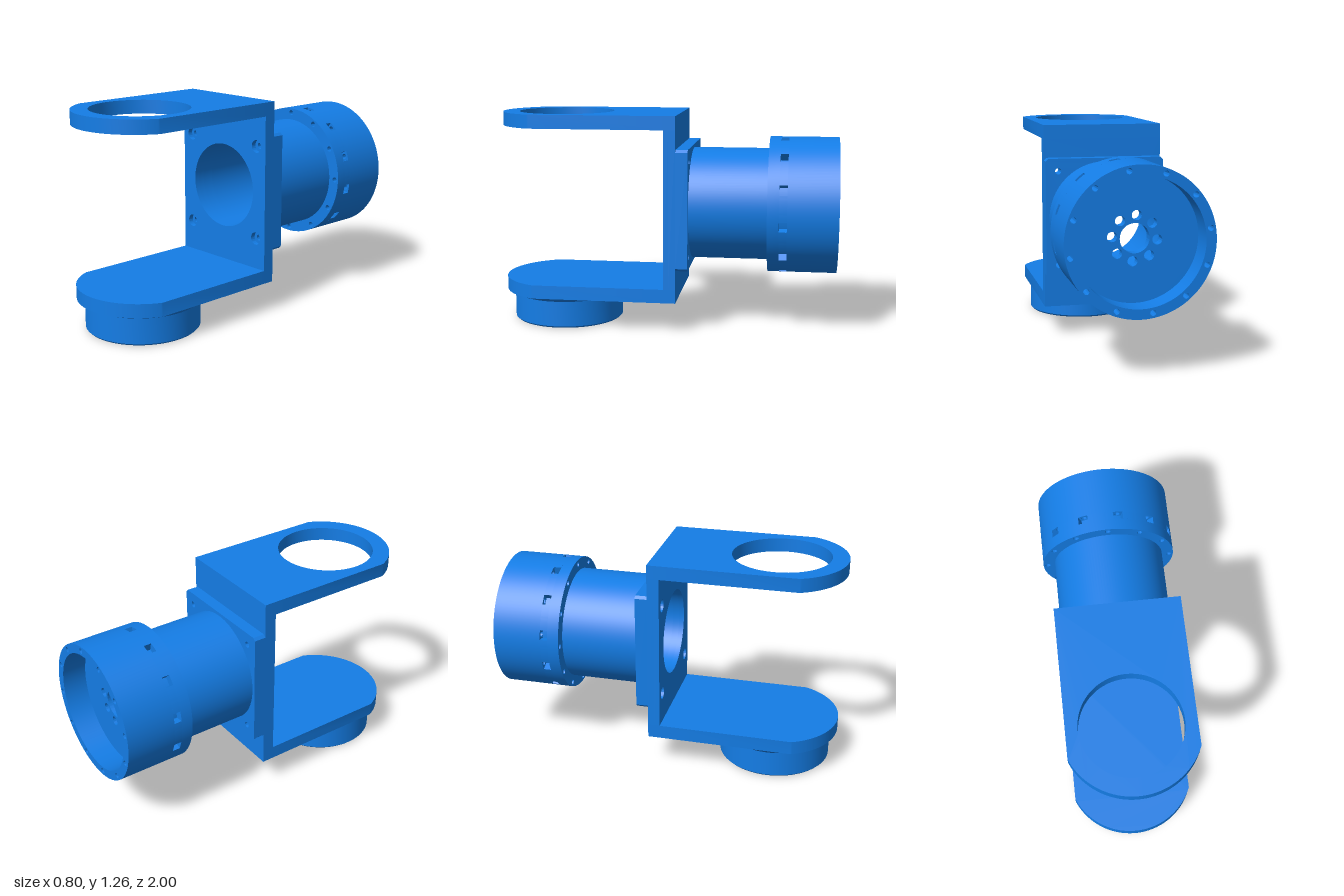
import * as THREE from 'three';
import { toCreasedNormals } from 'three/addons/utils/BufferGeometryUtils.js';

const material = new THREE.MeshStandardMaterial({ color: 0x147de6 });
const AXIS_Y = 0.72; // height of the drum axis
const PIVOT_Z = 0.62; // centre of the rounded arms

function circle(x, y, r, Type = THREE.Path) {
  const p = new Type();
  p.absarc(x, y, r, 0, Math.PI * 2, false);
  return p;
}

// Ring of small hole positions: count, radius of the ring, hole size, start angle in degrees
function holeRing(count, ringR, r, startDeg) {
  return Array.from({ length: count }, (_, i) => {
    const a = THREE.MathUtils.degToRad(startDeg + (i * 360) / count);
    return circle(ringR * Math.cos(a), ringR * Math.sin(a), r);
  });
}

function polygon(points) {
  return new THREE.Shape(points.map(([x, y]) => new THREE.Vector2(x, y)));
}

function extrude(shape, holes, depth, curveSegments) {
  shape.holes.push(...holes);
  return toCreasedNormals(
    new THREE.ExtrudeGeometry(shape, { depth, bevelEnabled: false, curveSegments }), 0.5);
}

export function createModel() {
  const model = new THREE.Group();
  model.name = 'jointBracket';

  function add(name, geometry, x, y, z) {
    const mesh = new THREE.Mesh(geometry, material);
    mesh.name = name;
    mesh.position.set(x, y, z);
    model.add(mesh);
  }

  // Slab around the drum axis, between two z values
  function slab(name, shape, holes, front, back, segments = 64) {
    add(name, extrude(shape, holes, front - back, segments), 0, AXIS_Y, back);
  }

  // Arms with rounded ends; the upper one has a bearing hole
  function arm(name, topY, holes) {
    const half = 0.35, R = 0.38, a = Math.acos(half / R);
    const s = new THREE.Shape();
    s.moveTo(-half, -0.08);
    s.lineTo(half, -0.08);
    s.absarc(0, PIVOT_Z, R, a, Math.PI - a, false);
    s.closePath();
    add(name, extrude(s, holes, 0.08, 48).rotateX(Math.PI / 2), 0, topY, 0);
  }
  arm('upperArm', 1.26, [circle(0, PIVOT_Z, 0.283)]);
  arm('lowerArm', 0.26, []);

  // Pivot boss under the lower arm
  const bossProfile = [[0, 0], [0.32, 0], [0.33, 0.01], [0.33, 0.16], [0.35, 0.18], [0, 0.18]]
    .map(([x, y]) => new THREE.Vector2(x, y));
  add('pivotBoss', toCreasedNormals(new THREE.LatheGeometry(bossProfile, 64), 0.5), 0, 0, PIVOT_Z + 0.005);

  // Back wall in two layers, so the screw holes are counterbored
  const BORE = 0.253;
  const screwHoles = (r) => holeRing(4, 0.277 * Math.SQRT2, r, 45);
  const wall = () => polygon([[-0.35, -0.46], [0.35, -0.46], [0.35, 0.46], [-0.35, 0.46]]);
  slab('backWallFront', wall(), [circle(0, 0, BORE), ...screwHoles(0.037)], -0.01, -0.04);
  slab('backWallRear', wall(), [circle(0, 0, BORE), ...screwHoles(0.018)], -0.04, -0.08);

  // Square flange with chamfered corners
  const f = 0.35, c = 0.335;
  const flange = polygon([[-c, -f], [c, -f], [f, -c], [f, c], [c, f], [-c, f], [-f, c], [-f, -c]]);
  slab('mountingFlange', flange, [circle(0, 0, BORE), ...screwHoles(0.018)], -0.08, -0.15);

  // Neck tube
  slab('neckTube', circle(0, 0, 0.33, THREE.Shape), [circle(0, 0, BORE)], -0.15, -0.6);

  // Drum: front ring, slotted ring, rear ring
  const R = 0.4;
  const disc = (r) => circle(0, 0, r, THREE.Shape);
  slab('drumFront', disc(R), [circle(0, 0, BORE), ...holeRing(12, 0.373, 0.016, 0)], -0.6, -0.667);

  const slotted = new THREE.Shape();
  const half = 0.073;
  for (let i = 0; i < 12; i++) {
    const a = THREE.MathUtils.degToRad(20 + i * 30);
    slotted.absarc(0, 0, 0.352, a - half, a + half, false);
    slotted.absarc(0, 0, R, a + half, a + Math.PI / 6 - half, false);
  }
  slotted.closePath();
  slab('drumSlots', slotted, [circle(0, 0, BORE)], -0.667, -0.712, 8);

  slab('drumRear', disc(R), [circle(0, 0, 0.345), ...holeRing(12, 0.373, 0.016, 20)], -0.712, -1);

  // Inner hub: stepped recess, then the floor with its bolt circle
  slab('hubStep', disc(0.345), [circle(0, 0, 0.168)], -0.712, -0.8);
  slab('hubFloor', disc(0.345), [circle(0, 0, 0.08), ...holeRing(8, 0.122, 0.027, 5)], -0.8, -0.86);

  return model;
}
